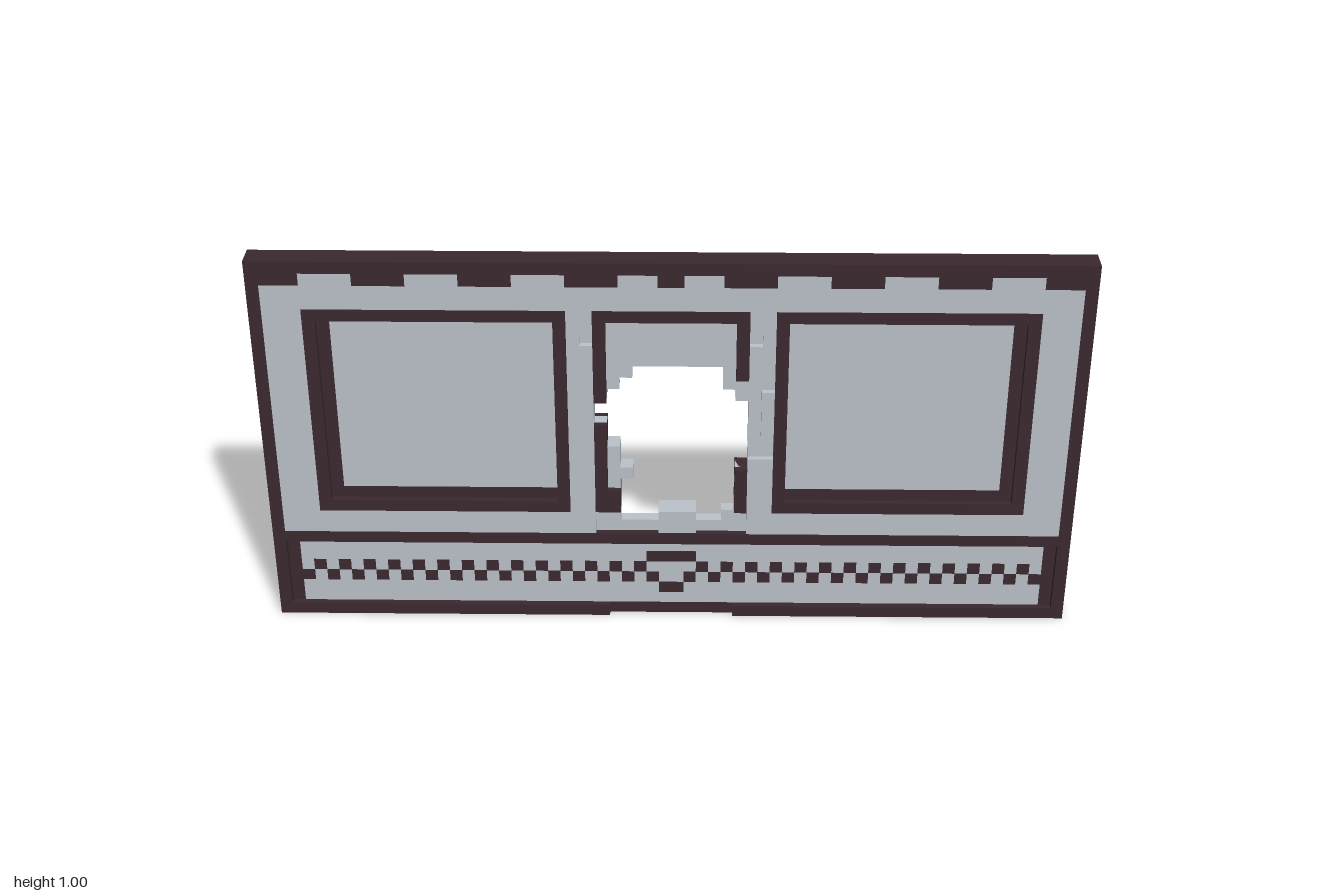
import * as THREE from 'three';

// The panel is laid out on a grid of 64 x 32 square cells.
const CELL = 1 / 32;
const FULL = 0.03125;   // half depth of the frame
const FACE = 0.0309;    // half depth of the wall facing
const CORE = 0.0156;    // half depth of the sunken core
const INLAY = 0.0162;   // half depth of dark marks on the core

const X = (c) => (c - 32) * CELL;
const Y = (r) => r * CELL;

export function createModel() {
  const model = new THREE.Group();
  const dark = new THREE.MeshStandardMaterial({ color: 0x3a2930 });
  const light = new THREE.MeshStandardMaterial({ color: 0xbcc3cb });

  const add = (name, geometry, material) => {
    const mesh = new THREE.Mesh(geometry, material);
    mesh.name = name;
    model.add(mesh);
    return mesh;
  };

  // Block covering columns c0..c1 and rows r0..r1
  const block = (name, c0, c1, r0, r1, half = FULL, material = dark) => {
    const g = new THREE.BoxGeometry((c1 - c0) * CELL, (r1 - r0) * CELL, half * 2);
    add(name, g, material).position.set((X(c0) + X(c1)) / 2, (Y(r0) + Y(r1)) / 2, 0);
  };

  // Same block on both sides of the centre line
  const pair = (name, c0, c1, r0, r1, half, material) => {
    block(name, c0, c1, r0, r1, half, material);
    block(name, 64 - c1, 64 - c0, r0, r1, half, material);
  };

  const points = (cells) => cells.map(([c, r]) => new THREE.Vector2(X(c), Y(r)));
  const rect = (c0, c1, r0, r1) => [[c0, r0], [c1, r0], [c1, r1], [c0, r1]];
  const slab = (name, outline, holes, half) => {
    const shape = new THREE.Shape(points(outline));
    shape.holes = holes.map((h) => new THREE.Path(points(h)));
    const g = new THREE.ExtrudeGeometry(shape, { depth: half * 2, bevelEnabled: false });
    g.translate(0, 0, -half);
    add(name, g, light);
  };

  // Sunken core with the ragged hole broken through the middle
  const brokenHole = [
    [29, 23], [36, 23], [36, 21], [37, 21], [37, 20], [38, 20], [38, 14], [37, 14],
    [37, 10], [36, 10], [36, 9], [34, 9], [34, 10], [31, 10], [31, 9], [28, 9],
    [28, 13], [29, 13], [29, 14], [28, 14], [28, 16], [27, 16], [27, 18], [26, 18],
    [26, 20], [27, 20], [27, 21], [28, 21], [28, 22], [29, 22],
  ];
  slab('corePanel', rect(0.5, 63.5, 0.5, 31.5), [brokenHole], CORE);

  // Wall facing, notched for the doorway and its chipped edges
  slab('wallFacing', [
    [0.5, 7.5], [26, 7.5], [26, 8], [26, 25], [25, 25], [25, 26], [26, 26], [26, 28],
    [38, 28], [38, 26], [39, 26], [39, 25], [38, 25], [38, 22], [40, 22], [40, 21],
    [39, 21], [39, 17], [40, 17], [40, 15], [38, 15], [38, 7.5], [63.5, 7.5],
    [63.5, 31.5], [0.5, 31.5],
  ], [rect(4.5, 23.5, 10.5, 27.5), rect(40.5, 59.5, 10.5, 27.5)], FACE);

  // Outer border and rails; the bottom rail is thinner in the middle
  pair('sideBorder', 0, 1, 0, 32);
  block('topBorder', 1, 63, 31, 32);
  block('middleRail', 1, 63, 7, 8);
  pair('bottomRail', 1, 27, 0, 1);
  block('bottomRailRecess', 27, 37, 0, 1, INLAY);

  // Teeth hanging from the top border
  for (const c of [8, 16, 24]) pair('topTooth', c, c + 4, 30, 31);
  pair('topTooth', 1, 4, 30, 31);
  block('topTooth', 31, 33, 30, 31);

  // Window frames with a sunken inner strip on the outer side and sill
  pair('windowSide', 4, 5, 10, 28);
  pair('windowSide', 23, 24, 10, 28);
  pair('windowTop', 5, 23, 27, 28);
  pair('windowBottom', 5, 23, 10, 11);
  pair('windowInnerSide', 5, 6, 11, 27, INLAY);
  pair('windowInnerSill', 6, 23, 11, 12, INLAY);

  // Broken door frame
  block('doorTop', 26, 38, 27, 28);
  block('doorLeftUpper', 26, 27, 20, 27);
  block('doorLeftLower', 26, 27, 10, 18);
  block('doorLeftStub', 27, 28, 10, 12);
  block('doorRightUpper', 37, 38, 22, 27);
  block('doorRightLower', 37, 38, 10, 14);

  // Rubble left in the doorway
  block('rubble', 31, 34, 8, 10, 0.028, light);
  block('rubble', 27, 28, 14, 16, 0.026, light);
  block('rubble', 28, 29, 13, 14, 0.022, light);

  // Lower panel: end strips, chequered band and centre emblem
  pair('lowerPanelEnd', 1, 2, 1, 7, INLAY);
  for (let c = 2; c <= 30; c++) {
    if (c % 2 === 0) pair('chequer', c, c + 1, 3, 4, INLAY);
    else pair('chequer', c, c + 1, 4, 5, INLAY);
  }
  block('centreBar', 30, 34, 5, 6, INLAY);
  block('centrePoint', 31, 33, 2, 3, INLAY);

  return model;
}
